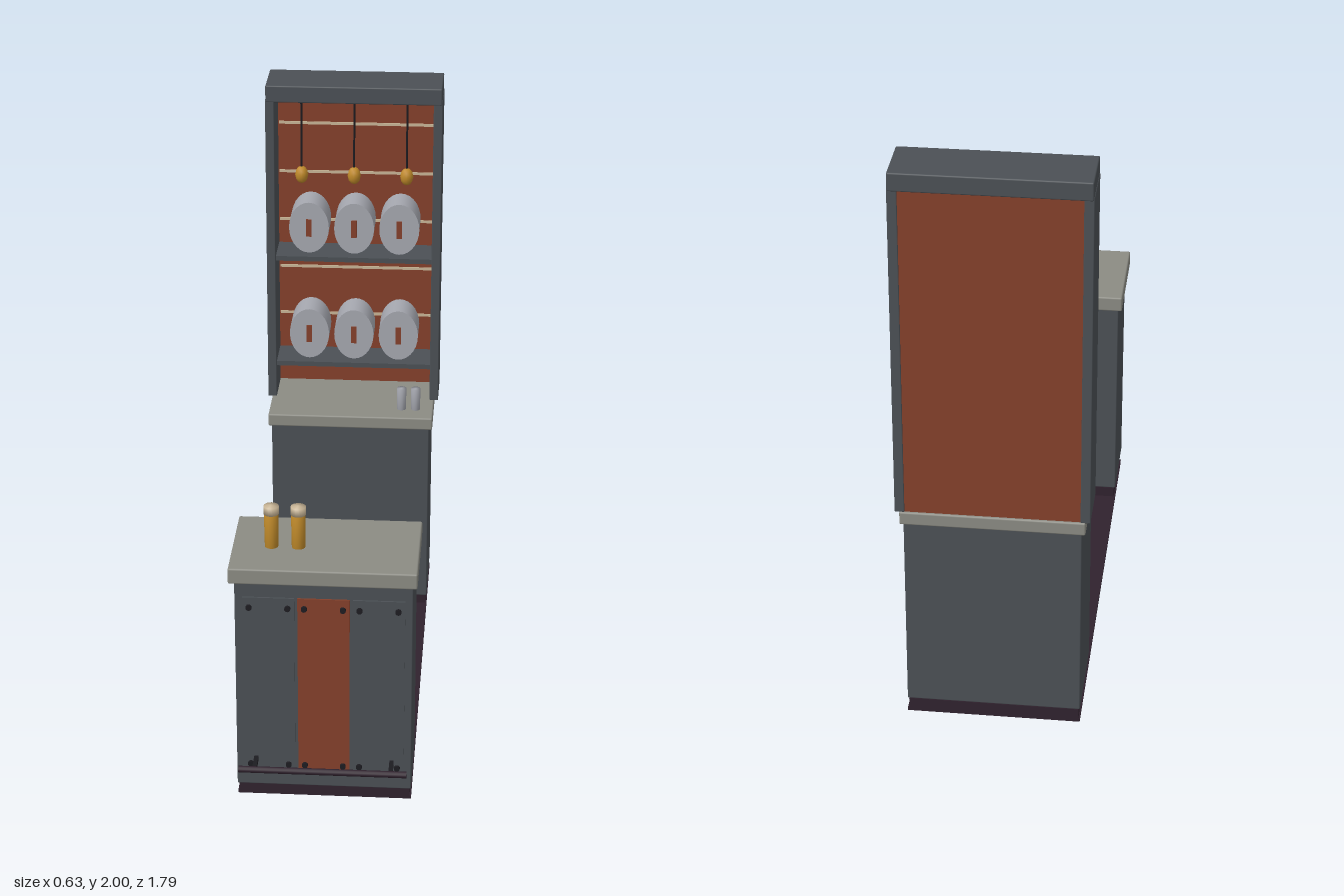
import * as THREE from 'three';
import { RoundedBoxGeometry } from 'three/addons/geometries/RoundedBoxGeometry.js';

const mat = (name, color) => {
  const m = new THREE.MeshStandardMaterial({ color });
  m.name = name;
  return m;
};

export function createModel() {
  const root = new THREE.Group();
  root.name = 'tapBar';

  const slate = mat('slate grey', 0x4b5055);
  const brick = mat('brick red', 0x84402b);
  const stone = mat('stone grey', 0x8b8b83);
  const plum = mat('dark plum', 0x30222e);
  const steel = mat('steel', 0xa5a7af);
  const gold = mat('amber', 0xc08a2a);
  const cream = mat('cream', 0xc8b596);
  const black = mat('near black', 0x1d1c21);

  const add = (name, geometry, material, x = 0, y = 0, z = 0) => {
    const mesh = new THREE.Mesh(geometry, material);
    mesh.name = name;
    mesh.position.set(x, y, z);
    root.add(mesh);
    return mesh;
  };
  // Box given by its limits on each axis; bevel > 0 softens the edges
  const box = (name, material, [x0, x1], [y0, y1], [z0, z1], bevel = 0) => {
    const size = [x1 - x0, y1 - y0, z1 - z0];
    const geometry = bevel
      ? new RoundedBoxGeometry(...size, 2, bevel)
      : new THREE.BoxGeometry(...size);
    return add(name, geometry, material, (x0 + x1) / 2, (y0 + y1) / 2, (z0 + z1) / 2);
  };
  // Smooth turned part, base at y = 0
  const turned = (name, material, points, x, y, z) =>
    add(name, new THREE.LatheGeometry(points.map(p => new THREE.Vector2(...p)), 20), material, x, y, z);

  // Floor mat joining the two counters
  box('floor', plum, [-0.29, 0.29], [0, 0.012], [-0.885, 0.785]);

  // Front counter
  box('frontPlinth', plum, [-0.285, 0.285], [0.005, 0.05], [0.515, 0.785]);
  box('frontCounterBody', slate, [-0.29, 0.29], [0.05, 0.835], [0.515, 0.805], 0.004);
  box('frontCountertop', stone, [-0.305, 0.305], [0.83, 0.885], [0.475, 0.855], 0.006);

  // Three bolted front panels
  [-0.18, 0, 0.18].forEach((x, i) => {
    box('frontPanel', i === 1 ? brick : slate, [x - 0.085, x + 0.085], [0.105, 0.76], [0.8, 0.811]);
    for (const dx of [-0.063, 0.063]) for (const y of [0.135, 0.725]) {
      const bolt = add('bolt', new THREE.CylinderGeometry(0.01, 0.01, 0.012, 10), black, x + dx, y, 0.814);
      bolt.rotation.x = Math.PI / 2;
    }
  });

  // Foot rail on two brackets
  const rail = add('footRail', new THREE.CylinderGeometry(0.011, 0.011, 0.555, 12), plum, 0, 0.155, 0.885);
  rail.rotation.z = Math.PI / 2;
  for (const x of [-0.225, 0.225]) {
    box('railBracket', black, [x - 0.007, x + 0.007], [0.147, 0.163], [0.8, 0.885]);
  }

  // Filled glasses with foam
  for (const x of [-0.178, -0.09]) {
    turned('glass', gold, [[0, 0], [0.022, 0], [0.024, 0.12], [0, 0.12]], x, 0.885, 0.685);
    turned('foam', cream, [[0, 0], [0.025, 0], [0.025, 0.028], [0, 0.032]], x, 1.003, 0.685);
  }

  // Back counter
  box('backPlinth', plum, [-0.285, 0.285], [0.005, 0.05], [-0.885, -0.56]);
  box('backCounterBody', slate, [-0.29, 0.29], [0.05, 0.75], [-0.885, -0.548], 0.004);
  box('backCountertop', stone, [-0.302, 0.302], [0.745, 0.792], [-0.895, -0.537], 0.006);
  for (const x of [0.185, 0.237]) {
    turned('steelCup', steel, [[0, 0], [0.016, 0], [0.018, 0.083], [0, 0.083]], x, 0.792, -0.62);
  }

  // Tall shelf unit
  for (const s of [-1, 1]) {
    box('shelfSide', slate, [s * 0.301 - 0.016, s * 0.301 + 0.016], [0.79, 1.945], [-0.89, -0.706], 0.003);
  }
  box('shelfCap', slate, [-0.315, 0.315], [1.938, 2], [-0.897, -0.7], 0.005);
  box('backPanel', brick, [-0.286, 0.286], [0.79, 1.94], [-0.887, -0.868]);
  for (let i = 0; i < 6; i++) {
    const y = 1.81 - i * 0.186;
    box('mortarLine', cream, [-0.282, 0.282], [y - 0.005, y + 0.005], [-0.87, -0.864]);
  }

  // Shelves carrying oval kegs with a red tag
  for (const y of [0.918, 1.336]) {
    box('shelf', slate, [-0.286, 0.286], [y - 0.009, y + 0.009], [-0.868, -0.722]);
    for (const x of [-0.165, 0, 0.165]) {
      const geometry = new THREE.CylinderGeometry(1, 1, 0.12, 28);
      geometry.rotateX(Math.PI / 2).scale(0.073, 0.097, 1);
      add('keg', geometry, steel, x, y + 0.113, -0.806);
      box('kegTag', brick, [x - 0.01, x + 0.01], [y + 0.08, y + 0.146], [-0.75, -0.741]);
    }
  }

  // Hanging hop cones
  for (const x of [-0.19, 0, 0.19]) {
    add('cord', new THREE.CylinderGeometry(0.004, 0.004, 0.27, 6), black, x, 1.81, -0.745);
    const geometry = new THREE.IcosahedronGeometry(1, 1);
    geometry.scale(0.024, 0.033, 0.024);
    add('hopCone', geometry, gold, x, 1.655, -0.745);
  }

  return root;
}
